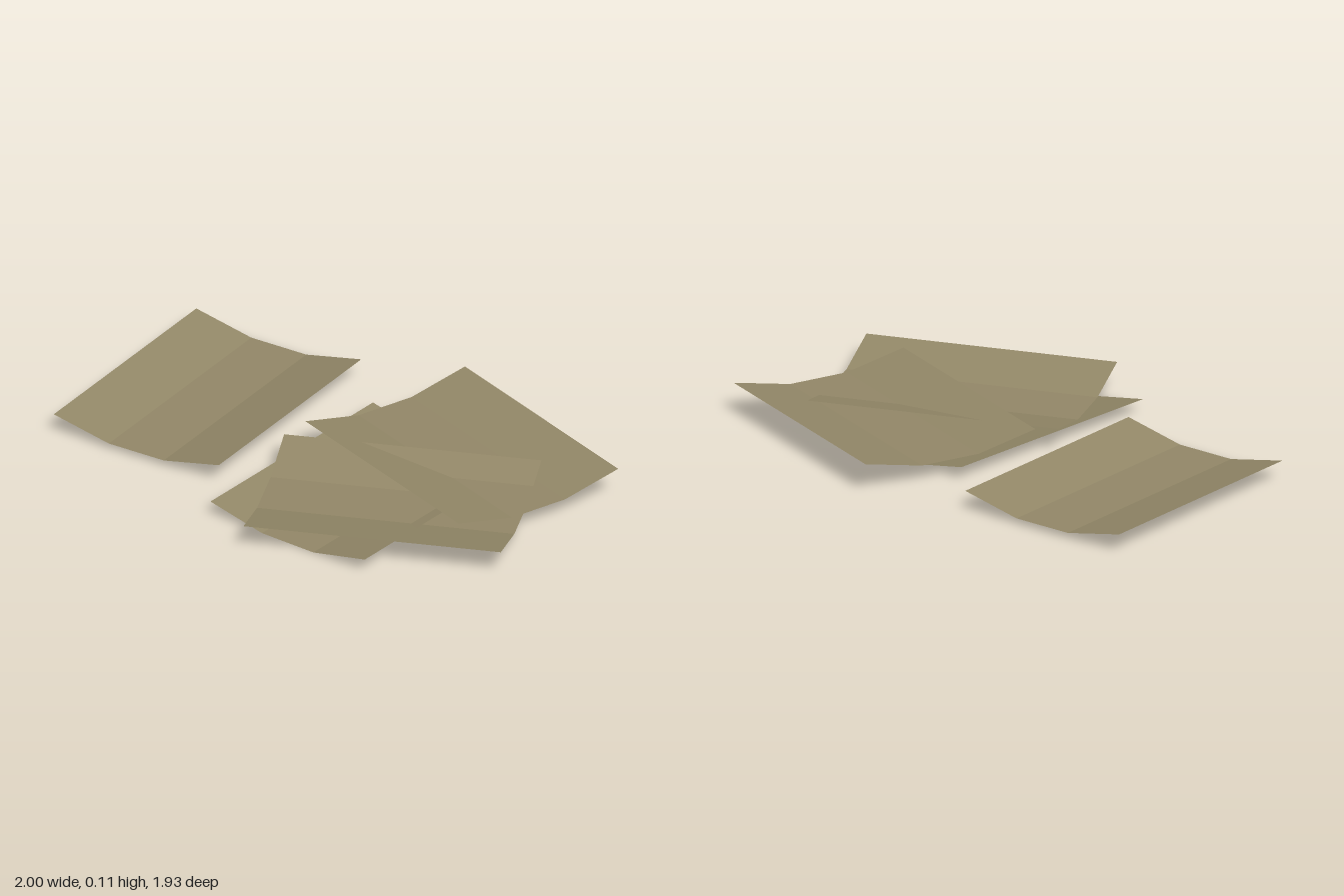
import * as THREE from 'three';

const WIDTH = 0.705, LENGTH = 0.945, RISE = 0.05;

// Sheet folded into three lengthwise strips, with both long edges turned up
function sheetGeometry() {
  const geo = new THREE.PlaneGeometry(WIDTH, LENGTH, 3, 1).rotateX(-Math.PI / 2);
  const pos = geo.attributes.position;
  for (let i = 0; i < pos.count; i++) {
    if (Math.abs(pos.getX(i)) > WIDTH * 0.4) pos.setY(i, RISE);
  }
  geo.computeVertexNormals();
  return geo;
}

export function createModel() {
  const group = new THREE.Group();
  group.name = 'scatteredSheets';
  const paper = new THREE.MeshStandardMaterial({
    color: 0x938868, flatShading: true, side: THREE.DoubleSide,
  });
  paper.name = 'agedPaper';
  const geo = sheetGeometry();

  // name, centre x, height, centre z, direction of the long side (x, z)
  const sheets = [
    ['bottomSheet', 0.105, 0, 0.325, -0.625, 0.705],
    ['separateSheet', -0.434, 0.02, -0.378, -0.56, 0.765],
    ['middleSheet', 0.18, 0.04, 0.495, 0.91, 0.25],
    ['topSheet', 0.448, 0.06, 0.185, 0.505, 0.8],
  ];
  for (const [name, x, y, z, dx, dz] of sheets) {
    const sheet = new THREE.Mesh(geo, paper);
    sheet.name = name;
    sheet.position.set(x, y, z);
    sheet.rotation.y = Math.atan2(dx, dz);
    group.add(sheet);
  }
  return group;
}
